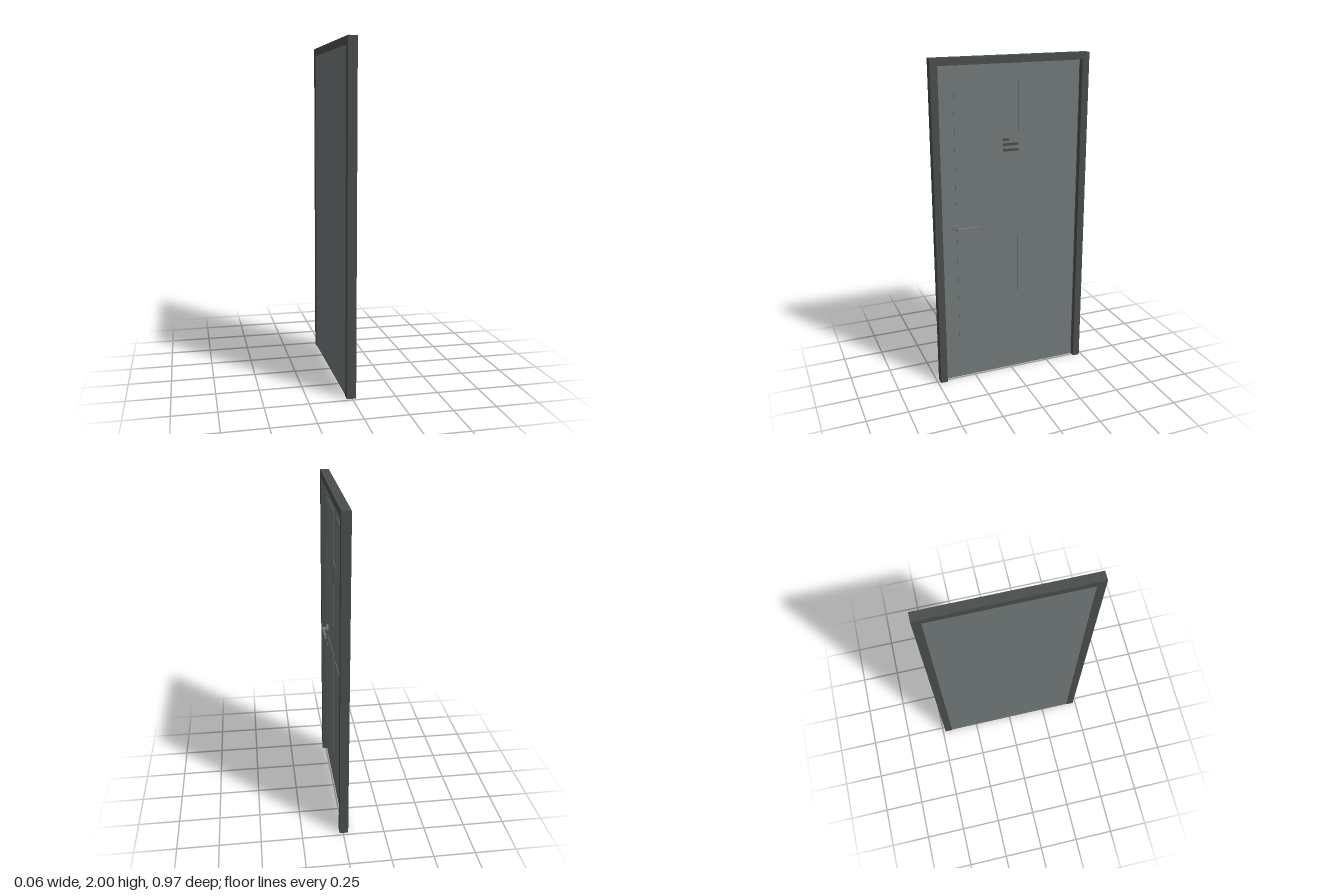
import * as THREE from 'three';

export function createModel() {
  const door = new THREE.Group();
  door.name = 'panelDoor';
  const mat = (name, color) => new THREE.MeshStandardMaterial({ name, color });
  const frameMat = mat('darkFrame', 0x494e4b);
  const leafMat = mat('greyLeaf', 0x727879);
  const metalMat = mat('greyMetal', 0x747a7a);

  const add = (name, geometry, material, parent = door) => {
    const mesh = new THREE.Mesh(geometry, material);
    mesh.name = name;
    parent.add(mesh);
    return mesh;
  };
  // Box given by its limits on each axis
  const box = (name, material, [x0, x1], [y0, y1], [z0, z1], parent) =>
    add(name, new THREE.BoxGeometry(x1 - x0, y1 - y0, z1 - z0), material, parent)
      .position.set((x0 + x1) / 2, (y0 + y1) / 2, (z0 + z1) / 2);
  // Disc whose axis runs along x
  const disc = (name, r, [x0, x1], y, z, parent) => {
    const geometry = new THREE.CylinderGeometry(r, r, x1 - x0, 32).rotateZ(Math.PI / 2);
    add(name, geometry, metalMat, parent).position.set((x0 + x1) / 2, y, z);
  };

  // Frame: an upside-down U swept through the wall
  const arch = (halfOuter, top, halfInner, innerTop, x0, x1) => {
    const shape = new THREE.Shape([
      [-halfOuter, 0], [-halfInner, 0], [-halfInner, innerTop], [halfInner, innerTop],
      [halfInner, 0], [halfOuter, 0], [halfOuter, top], [-halfOuter, top],
    ].map(([a, b]) => new THREE.Vector2(a, b)));
    return new THREE.ExtrudeGeometry(shape, { depth: x1 - x0, bevelEnabled: false })
      .rotateY(Math.PI / 2).translate(x0, 0, 0);
  };
  add('frame', arch(0.483, 2, 0.44, 1.96, -0.031, 0.022), frameMat);
  add('frameStop', arch(0.44, 1.96, 0.434, 1.954, -0.03, -0.012), frameMat);

  // Leaf with four slightly raised panels
  const face = -0.008;
  const panelFace = face + 0.003;
  box('leaf', leafMat, [-0.029, face], [0.003, 1.954], [-0.434, 0.434]);
  for (const [z0, z1] of [[0.05, 0.345], [-0.34, -0.046]]) {
    box('upperPanel', leafMat, [face, panelFace], [1.146, 1.86], [z0, z1]);
    box('lowerPanel', leafMat, [face, panelFace], [0.24, 0.954], [z0, z1]);
  }

  // Plate between the upper panels with three plain slats
  box('slatPlate', leafMat, [face, panelFace], [1.43, 1.56], [-0.046, 0.05]);
  for (const [y, z0] of [[1.453, -0.046], [1.487, -0.046], [1.516, 0.013]])
    box('slat', frameMat, [panelFace, panelFace + 0.004], [y - 0.007, y + 0.007], [z0, 0.05]);

  // Lever handle and keyhole rose
  const handle = new THREE.Group();
  handle.name = 'handle';
  door.add(handle);
  disc('rose', 0.027, [face, 0.002], 1, 0.345, handle);
  disc('neck', 0.012, [0.002, 0.025], 1, 0.341, handle);
  box('lever', metalMat, [0.019, 0.031], [0.989, 1.011], [0.21, 0.341], handle);
  disc('leverEnd', 0.011, [0.019, 0.031], 1, 0.341, handle);
  disc('keyholeRose', 0.016, [face, -0.003], 0.88, 0.345);

  return door;
}
